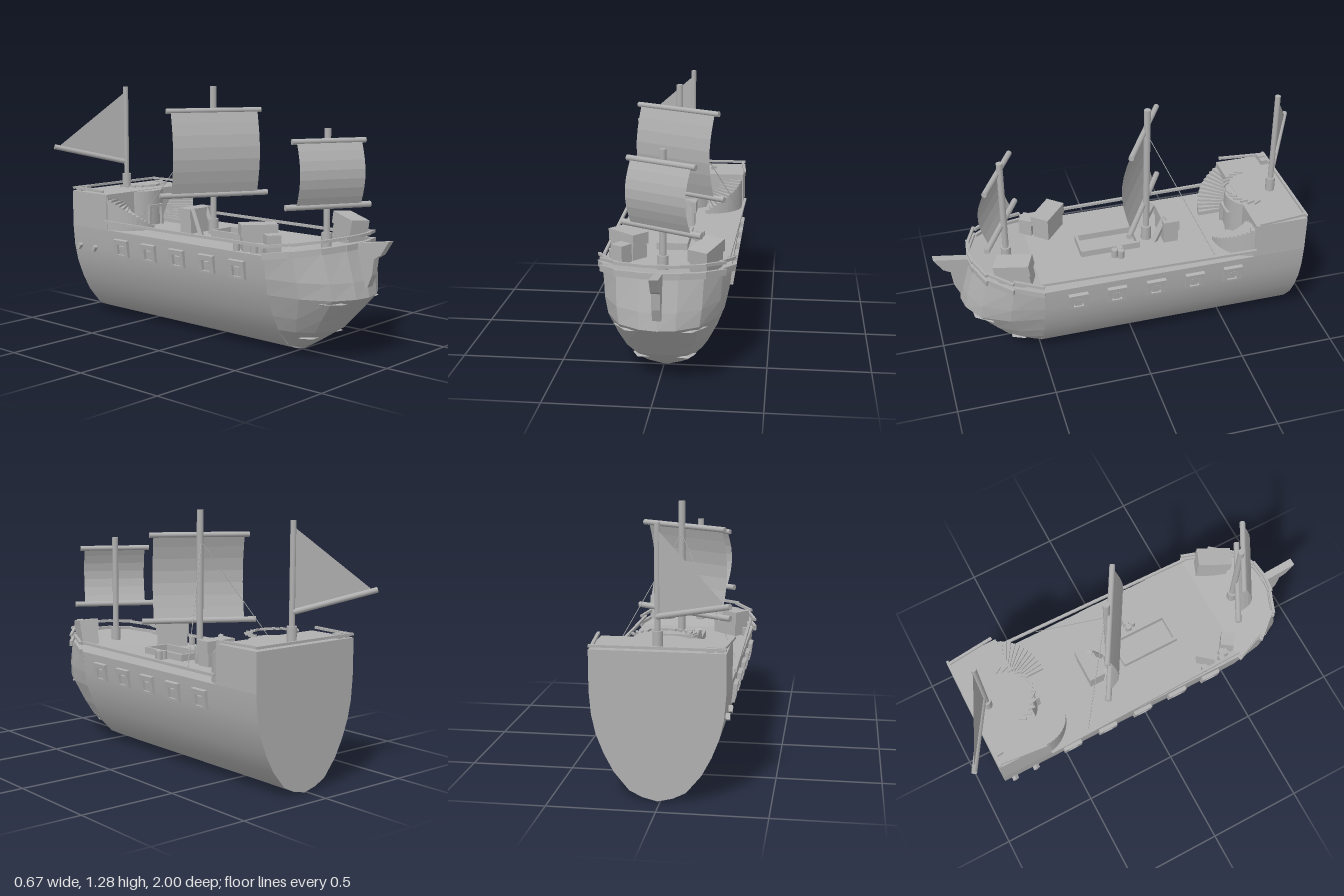
import * as THREE from 'three';
import { toCreasedNormals } from 'three/addons/utils/BufferGeometryUtils.js';

const grey = new THREE.MeshStandardMaterial({ color: 0xb0b0b0, side: THREE.DoubleSide });
grey.name = 'plain grey';

const V = (x, y, z) => new THREE.Vector3(x, y, z);

export function createModel() {
  const ship = new THREE.Group();
  ship.name = 'sailingShip';
  const body = new THREE.Group();
  body.name = 'shipBody';
  body.position.x = 0.0125;
  ship.add(body);

  const add = (name, geo, parent = body) => {
    const m = new THREE.Mesh(geo, grey);
    m.name = name;
    parent.add(m);
    return m;
  };
  const box = (name, w, h, d, x, y, z, parent) => {
    const m = add(name, new THREE.BoxGeometry(w, h, d), parent);
    m.position.set(x, y, z);
    return m;
  };
  // Round spar between two points
  const spar = (name, a, b, r, sides = 10, parent = body) => {
    const m = add(name, new THREE.CylinderGeometry(r, r, a.distanceTo(b), sides), parent);
    m.position.copy(a).add(b).multiplyScalar(0.5);
    m.quaternion.setFromUnitVectors(V(0, 1, 0), b.clone().sub(a).normalize());
    return m;
  };
  // Flat rail along a polyline
  const rail = (name, pts, w, h) => {
    const g = new THREE.Group();
    g.name = name;
    body.add(g);
    for (let i = 0; i + 1 < pts.length; i++) {
      const m = box(name + 'Segment', w, h, pts[i].distanceTo(pts[i + 1]) + w * 0.6, 0, 0, 0, g);
      m.position.copy(pts[i]).add(pts[i + 1]).multiplyScalar(0.5);
      m.lookAt(pts[i + 1]);
    }
  };
  // Upright prism from a plan outline of [x, z] points
  const prism = (name, plan, y0, y1) => {
    const s = new THREE.Shape(plan.map(([x, z]) => new THREE.Vector2(x, -z)));
    const g = new THREE.ExtrudeGeometry(s, { depth: y1 - y0, bevelEnabled: false });
    g.rotateX(-Math.PI / 2).translate(0, y0, 0);
    return add(name, g);
  };

  // Main hull: one cross-section swept from stern to bow
  const half = [[0.07, 0.02], [0.13, 0.05], [0.2, 0.135], [0.245, 0.22], [0.28, 0.31], [0.3, 0.4], [0.309, 0.51]];
  const outline = [[0, 0.003], ...half, ...half.slice().reverse().map(([x, y]) => [-x, y])];
  const hullShape = new THREE.Shape(outline.map(p => new THREE.Vector2(...p)));
  const hullGeo = new THREE.ExtrudeGeometry(hullShape, { depth: 1.375, bevelEnabled: false });
  hullGeo.translate(0, 0, -0.875);
  add('hull', toCreasedNormals(hullGeo, 0.6));

  // Faceted bow: rows of [y, half width, stem z]
  const rows = [[0.003, 0, 0.5], [0.045, 0.12, 0.57], [0.135, 0.2, 0.71], [0.21, 0.24, 0.78],
    [0.32, 0.283, 0.885], [0.4, 0.3, 0.87], [0.51, 0.31, 0.825]];
  const fx = [1, 0.9, 0.65, 0.29, 0, -0.29, -0.65, -0.9, -1];
  const fz = [0, 0.44, 0.8, 0.96, 1, 0.96, 0.8, 0.44, 0];
  const bowPoint = (j, i) => {
    const [y, w, s] = rows[j];
    const rise = j === rows.length - 1 ? 0.05 * fz[i] : 0;
    return V(w * fx[i], y + rise, 0.5 + (s - 0.5) * fz[i]);
  };
  const top = rows.length - 1;
  const tri = [];
  for (let i = 0; i < 8; i++) {
    for (let j = 0; j < top; j++) {
      const a = bowPoint(j, i), b = bowPoint(j, i + 1), c = bowPoint(j + 1, i), d = bowPoint(j + 1, i + 1);
      tri.push(b, a, c, b, c, d);
    }
    tri.push(V(0, 0.51, 0.5), bowPoint(top, i + 1), bowPoint(top, i));
  }
  const bowGeo = new THREE.BufferGeometry().setFromPoints(tri);
  bowGeo.computeVertexNormals();
  add('bow', bowGeo);

  // Rim and raised hand rail around the bow and along the sides
  const rim = fx.map((_, i) => bowPoint(top, i));
  rail('bowRim', rim, 0.016, 0.03);
  const path = [V(0.309, 0.51, -0.6), ...rim, V(-0.309, 0.51, -0.6)];
  rail('handRail', path.map(p => p.clone().add(V(0, 0.046, 0))), 0.014, 0.014);

  // Projecting stem beam
  const stem = new THREE.Shape([[0.81, 0.57], [0.83, 0.37], [0.885, 0.37], [0.91, 0.43], [0.92, 0.51],
    [0.955, 0.53], [1, 0.6]].map(([z, y]) => new THREE.Vector2(-z, y)));
  const stemGeo = new THREE.ExtrudeGeometry(stem, { depth: 0.04, bevelEnabled: false });
  stemGeo.translate(0, 0, -0.02).rotateY(Math.PI / 2);
  add('stemBeam', stemGeo);

  // Thin ledges on the bow
  for (const s of [1, -1]) {
    for (const [x, y, z, w] of [[0.13, 0.3, 0.795, 0.1], [0.1, 0.098, 0.61, 0.06]]) {
      const ledge = add('bowLedge', new THREE.OctahedronGeometry(1));
      ledge.scale.set(w, 0.014, 0.045);
      ledge.position.set(s * x, y, z);
      ledge.rotation.y = s * 0.5;
    }
  }

  // Gun ports on both sides
  const port = new THREE.Shape([[-0.05, -0.045], [0.05, -0.045], [0.05, 0.045], [-0.05, 0.045]].map(p => new THREE.Vector2(...p)));
  port.holes.push(new THREE.Path([[-0.026, -0.035], [-0.026, 0.02], [0.026, 0.02], [0.026, -0.035]].map(p => new THREE.Vector2(...p))));
  const portGeo = new THREE.ExtrudeGeometry(port, { depth: 0.025, bevelEnabled: false });
  for (const s of [1, -1]) {
    for (const z of [0.33, 0.13, -0.075, -0.28, -0.485]) {
      const g = new THREE.Group();
      g.name = 'gunPort';
      g.position.set(s * 0.294, 0.428, z);
      g.rotation.set(0.15, s * Math.PI / 2, 0, 'YXZ');
      body.add(g);
      add('portFrame', portGeo, g);
      box('portLid', 0.036, 0.045, 0.02, 0, -0.012, 0.008, g);
    }
  }
  // Small mooring hooks on the right side
  for (const z of [-0.82, -0.7]) box('mooringHook', 0.02, 0.03, 0.02, -0.312, 0.4, z).rotation.x = 0.6;

  // Stern castle with rounded front and doorway
  box('sternCastle', 0.618, 0.19, 0.275, 0, 0.605, -0.7375);
  add('castleFront', new THREE.CylinderGeometry(0.135, 0.135, 0.188, 32)).position.set(0, 0.604, -0.68);
  for (const s of [1, -1]) box('doorPost', 0.015, 0.1, 0.03, s * 0.045, 0.56, -0.55);
  box('doorLintel', 0.105, 0.015, 0.03, 0, 0.615, -0.55);
  const arc = [];
  for (let i = 0; i <= 12; i++) {
    const a = (i / 12 - 0.5) * Math.PI;
    arc.push(V(0.145 * Math.sin(a), 0.728, -0.68 + 0.13 * Math.cos(a)));
  }
  rail('balconyRail', arc, 0.01, 0.01);
  rail('castleRail', [V(0.305, 0.716, -0.62), V(0.305, 0.716, -0.868), V(-0.305, 0.716, -0.868), V(-0.305, 0.716, -0.62)], 0.014, 0.012);

  // Curved stairs sweeping up to each side
  const steps = 14;
  for (const s of [1, -1]) {
    for (let k = 0; k < steps; k++) {
      const plan = [[s * 0.11, -0.64]];
      for (const e of [k, k + 1]) {
        const a = e / steps * Math.PI / 2;
        plan.push([s * (0.11 + 0.198 * Math.sin(a)), -0.64 + 0.2 * Math.cos(a)]);
      }
      prism('stairStep', plan, 0.505, 0.52 + 0.175 * (k + 1) / steps);
    }
  }

  // Square-rigged masts: yards and a bulging sail turned together
  const squareMast = (name, z, y0, y1, r, yTop, halfTop, yLow, halfLow, turn) => {
    const g = new THREE.Group();
    g.name = name;
    g.position.z = z;
    body.add(g);
    spar('mastPole', V(0, y0, 0), V(0, y1, 0), r, 12, g);
    spar('mastFoot', V(0, y0, 0), V(0, y0 + 0.08, 0), r * 1.6, 12, g);
    const rig = new THREE.Group();
    rig.name = 'rig';
    rig.rotation.y = turn;
    g.add(rig);
    spar('upperYard', V(-halfTop, yTop, 0.015), V(halfTop, yTop, 0.015), 0.014, 10, rig);
    spar('lowerYard', V(-halfLow, yLow, 0.015), V(halfLow, yLow, 0.015), 0.015, 10, rig);
    const h = yTop - yLow;
    const sail = new THREE.PlaneGeometry(2, h, 1, 7);
    const p = sail.attributes.position;
    for (let i = 0; i < p.count; i++) {
      const t = p.getY(i) / h;
      p.setX(i, p.getX(i) * (halfTop - 0.022));
      p.setZ(i, 0.022 + 0.045 * Math.cos(t * Math.PI));
    }
    const flat = sail.toNonIndexed();
    flat.computeVertexNormals();
    add('squareSail', flat, rig).position.y = (yTop + yLow) / 2;
  };
  squareMast('foreMast', 0.63, 0.52, 1.1, 0.016, 1.04, 0.19, 0.73, 0.222, -0.5);
  squareMast('mainMast', -0.11, 0.51, 1.28, 0.017, 1.155, 0.255, 0.72, 0.292, -0.53);

  // Stern mast with slanted boom and triangular sail
  spar('sternMast', V(0.01, 0.7, -0.785), V(0.01, 1.26, -0.785), 0.014, 12);
  spar('sternMastFoot', V(0.01, 0.7, -0.785), V(0.01, 0.775, -0.785), 0.024, 12);
  spar('sternBoom', V(0.01, 0.84, -0.79), V(-0.335, 0.935, -0.99), 0.014);
  const jib = new THREE.BufferGeometry().setFromPoints([V(0.01, 1.23, -0.79), V(-0.315, 0.935, -0.98), V(0.005, 0.845, -0.79)]);
  jib.computeVertexNormals();
  add('triangularSail', jib);

  // Stays from the main mast
  for (const s of [1, -1]) spar('stay', V(0, 1.12, -0.12), V(s * 0.3, 0.56, -0.385), 0.002, 5);

  // Hatch coaming
  for (const s of [1, -1]) {
    box('hatchSide', 0.015, 0.035, 0.31, s * 0.07, 0.527, 0.1);
    box('hatchEnd', 0.14, 0.035, 0.015, 0, 0.527, 0.1 + s * 0.15);
  }

  // Chests with overhanging lids
  const chest = (x, y, z, w, d, h, turn, tilt = 0) => {
    const g = new THREE.Group();
    g.name = 'chest';
    g.position.set(x, y, z);
    g.rotation.set(tilt, turn, 0);
    body.add(g);
    box('chestBody', w * 0.9, h * 0.55, d * 0.9, 0, h * 0.275, 0, g);
    box('chestLid', w, h * 0.45, d, 0, h * 0.775, 0, g);
  };
  chest(-0.01, 0.51, -0.225, 0.18, 0.085, 0.13, 0);
  chest(-0.2, 0.51, 0.37, 0.18, 0.1, 0.13, -0.7);
  chest(0.2, 0.525, 0.61, 0.1, 0.18, 0.135, -0.4, 0.15);
  box('foreCrate', 0.07, 0.09, 0.07, -0.22, 0.555, 0.475).rotation.y = -0.6;
  for (const x of [-0.28, -0.235]) box('sternCrate', 0.034, 0.025, 0.034, x, 0.712, -0.842).rotation.y = 0.1;

  // Barrels, and loose planks leaning by the main mast
  for (const [x, z] of [[0.1, 0.06], [0.13, 0.06], [0.115, 0.09], [-0.285, 0.305], [-0.275, 0.41], [-0.26, 0.44], [-0.25, 0.425]]) {
    add('barrel', new THREE.CylinderGeometry(0.017, 0.017, 0.045, 8)).position.set(x, 0.532, z);
  }
  for (const [x, z] of [[-0.09, -0.14], [0.04, -0.17]]) {
    const plank = box('leaningPlank', 0.03, 0.15, 0.02, x, 0.575, z);
    plank.rotation.set(-0.4, 0.5, 0);
  }
  return ship;
}
